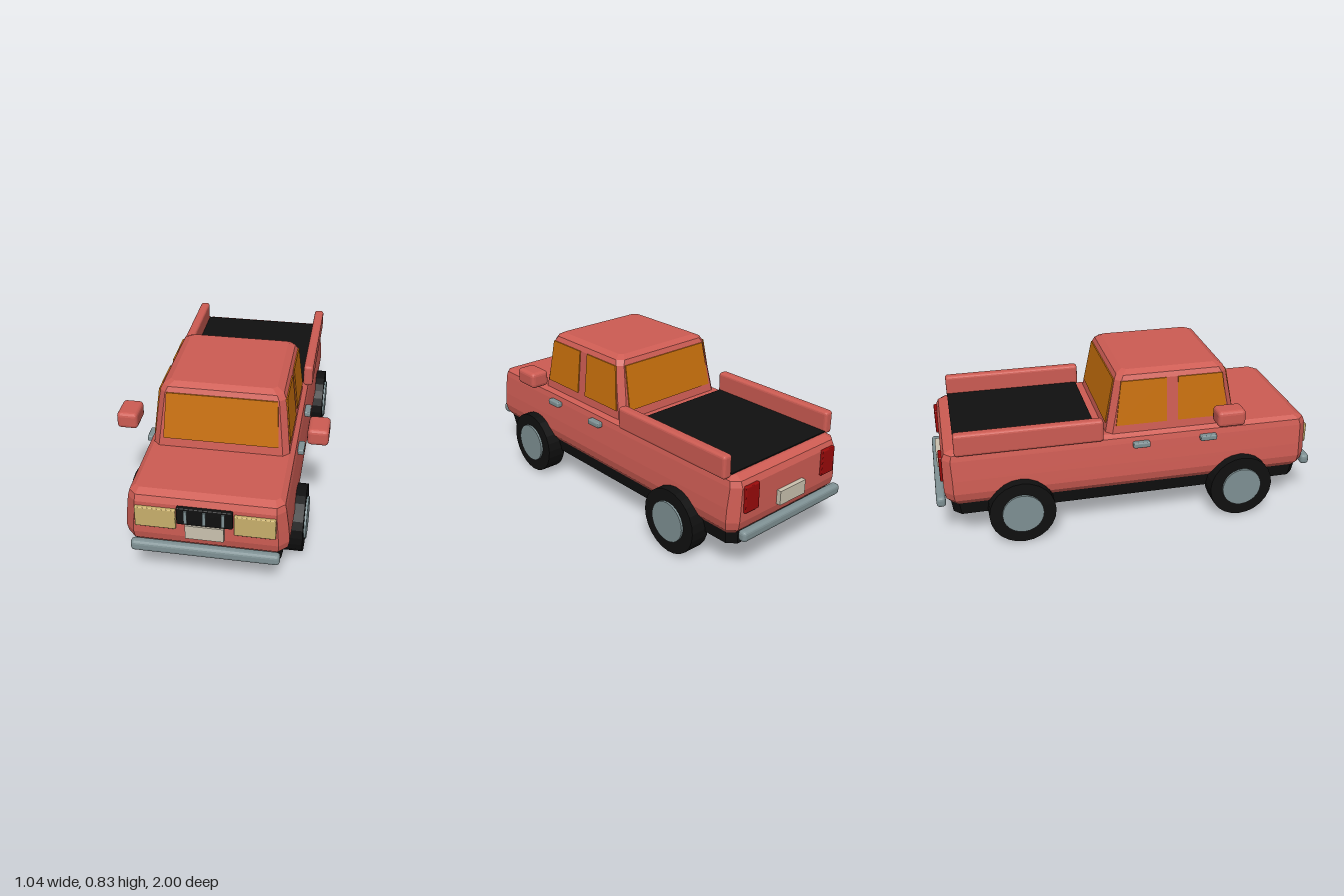
import * as THREE from 'three';
import { RoundedBoxGeometry } from 'three/addons/geometries/RoundedBoxGeometry.js';

const material = (name, color) => Object.assign(new THREE.MeshStandardMaterial({ color }), { name });

// Faceted solid from stacked rings, each counterclockwise about the stacking direction
function skin(rings) {
  const pos = [];
  const tri = (...pts) => pts.forEach(p => pos.push(...p));
  const n = rings[0].length;
  const last = rings[rings.length - 1];
  for (let k = 0; k < rings.length - 1; k++) {
    for (let i = 0; i < n; i++) {
      const j = (i + 1) % n;
      tri(rings[k][i], rings[k][j], rings[k + 1][j]);
      tri(rings[k][i], rings[k + 1][j], rings[k + 1][i]);
    }
  }
  for (let i = 1; i < n - 1; i++) {
    tri(last[0], last[i], last[i + 1]);
    tri(rings[0][0], rings[0][i + 1], rings[0][i]);
  }
  const geo = new THREE.BufferGeometry();
  geo.setAttribute('position', new THREE.Float32BufferAttribute(pos, 3));
  geo.computeVertexNormals();
  return geo;
}

// Corner-cut rectangles at each level [y, half width, half length, corner cut]
const loft = levels => skin(levels.map(([y, x, z, c]) => [
  [x - c, y, z], [x, y, z - c], [x, y, c - z], [x - c, y, -z],
  [c - x, y, -z], [-x, y, c - z], [-x, y, z - c], [c - x, y, z],
]));

function bevelBox(w, h, d, r) {
  const geo = new RoundedBoxGeometry(w, h, d, 2, r);
  geo.computeVertexNormals();
  return geo;
}

function disc(r, width) {
  const geo = new THREE.CylinderGeometry(r, r, width, 24).rotateZ(Math.PI / 2).toNonIndexed();
  geo.computeVertexNormals();
  return geo;
}

export function createModel() {
  const truck = new THREE.Group();
  truck.name = 'pickupTruck';
  const paint = material('redPaint', 0xcd5c53);
  const black = material('black', 0x101010);
  const glass = material('amberGlass', 0xc8700c);
  const metal = material('greyMetal', 0x7f9194);
  const lamp = material('headlightYellow', 0xc9b06c);
  const plate = material('plateCream', 0xcbc3b0);
  const red = material('tailRed', 0x9a0a0a);

  const add = (name, geo, mat, x = 0, y = 0, z = 0) => {
    const mesh = new THREE.Mesh(geo, mat);
    mesh.name = name;
    mesh.position.set(x, y, z);
    truck.add(mesh);
    return mesh;
  };

  // Chassis and lower body
  add('chassis', loft([
    [0.133, 0.30, 0.87, 0.03], [0.153, 0.345, 0.92, 0.04], [0.24, 0.36, 0.93, 0.04],
  ]), black);
  add('body', loft([
    [0.22, 0.355, 0.92, 0.03], [0.25, 0.377, 0.948, 0.04], [0.29, 0.385, 0.957, 0.045],
    [0.36, 0.38, 0.957, 0.045], [0.465, 0.367, 0.955, 0.04], [0.495, 0.36, 0.942, 0.035],
    [0.512, 0.335, 0.905, 0.02],
  ]), paint);

  // Cab with tapered sides
  const cabZ = 0.217;
  add('cab', loft([
    [0.50, 0.337, 0.347, 0.03], [0.785, 0.306, 0.292, 0.03],
    [0.81, 0.293, 0.28, 0.03], [0.828, 0.258, 0.247, 0.02],
  ]), paint, 0, 0, cabZ);

  // Thin panes laid on the sloping cab walls, turned to face each side
  const y0 = 0.555, y1 = 0.785;
  const pane = (name, bottom, top, wall, angle) => {
    const depth = y => THREE.MathUtils.mapLinear(y, 0.50, 0.785, wall[0], wall[1]);
    const ring = lift => [
      [bottom[0], y0, depth(y0) + lift], [bottom[1], y0, depth(y0) + lift],
      [top[1], y1, depth(y1) + lift], [top[0], y1, depth(y1) + lift],
    ];
    add(name, skin([ring(-0.002), ring(0.006)]).rotateY(angle), glass, 0, 0, cabZ);
  };
  const endWall = [0.347, 0.292], sideWall = [0.337, 0.306];
  pane('windshield', [-0.283, 0.283], [-0.27, 0.27], endWall, 0);
  pane('rearWindow', [-0.283, 0.283], [-0.27, 0.27], endWall, Math.PI);
  for (const angle of [Math.PI / 2, -Math.PI / 2]) {
    pane('sideWindow', [-0.295, -0.03], [-0.265, -0.03], sideWall, angle);
    pane('sideWindow', [0.03, 0.295], [0.03, 0.265], sideWall, angle);
  }

  // Cargo bed
  add('bedFloor', new THREE.BoxGeometry(0.665, 0.012, 0.725), black, 0, 0.512, -0.528);

  for (const s of [1, -1]) {
    add('bedRail', bevelBox(0.052, 0.118, 0.74, 0.015), paint, s * 0.359, 0.557, -0.522);
    add('sideMirror', bevelBox(0.103, 0.085, 0.145, 0.02), paint, s * 0.467, 0.618, 0.472);
    for (const z of [0.4, 0.044]) {
      add('doorHandle', bevelBox(0.034, 0.03, 0.088, 0.008), metal, s * 0.381, 0.46, z);
    }
    // Wheels with hubcaps
    for (const z of [0.58, -0.58]) {
      add('tyre', disc(0.169, 0.102), black, s * 0.381, 0.169, z);
      add('hubcap', disc(0.105, 0.03), metal, s * 0.428, 0.17, z);
    }
    // Lamps
    add('headlight', bevelBox(0.192, 0.108, 0.03, 0.006), lamp, s * 0.231, 0.391, 0.957);
    add('tailLight', bevelBox(0.092, 0.135, 0.03, 0.006), red, s * 0.272, 0.403, -0.955);
    // Bumper and number plate at each end
    add('bumper', bevelBox(0.7, 0.056, 0.047, 0.018), metal, 0, 0.233, s * 0.9765);
    add('numberPlate', new THREE.BoxGeometry(0.18, 0.074, 0.03), plate, 0, 0.335, s * 0.965);
  }

  // Grille and its bars
  add('grille', bevelBox(0.26, 0.092, 0.036, 0.006), black, 0, 0.418, 0.957);
  for (const x of [-0.087, 0, 0.087]) {
    add('grilleBar', new THREE.BoxGeometry(0.015, 0.07, 0.016), metal, x, 0.419, 0.973);
  }
  return truck;
}
